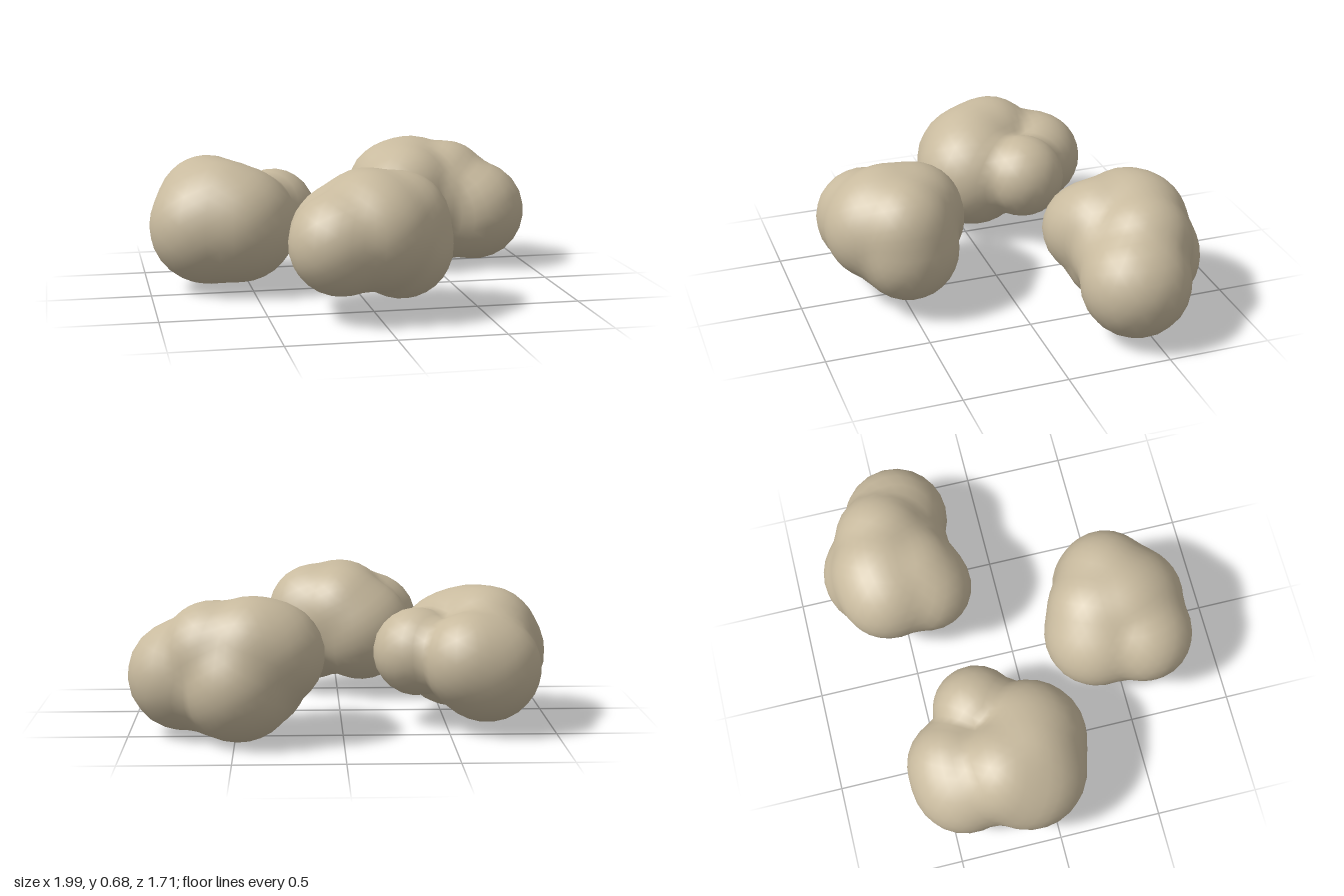
import * as THREE from 'three';
import { mergeVertices } from 'three/addons/utils/BufferGeometryUtils.js';

// Each rock: a core point and overlapping round lobes [x, y, z, radius]
const ROCKS = [
  {
    name: 'leftRock', core: [-0.56, 0.33, -0.25],
    lobes: [[-0.56, 0.33, -0.06, 0.285], [-0.71, 0.32, -0.1, 0.285], // front
      [-0.7, 0.41, -0.2, 0.245], [-0.64, 0.4, -0.09, 0.245], // top
      [-0.68, 0.3, -0.4, 0.255], [-0.6, 0.34, -0.43, 0.23], // back
      [-0.36, 0.355, -0.27, 0.21]], // side knob
  },
  {
    name: 'rightRock', core: [0.49, 0.33, -0.48],
    lobes: [[0.74, 0.285, -0.43, 0.26], // outer knob
      [0.31, 0.37, -0.36, 0.22], [0.33, 0.4, -0.55, 0.245], // inner end
      [0.48, 0.27, -0.59, 0.265], // back
      [0.42, 0.42, -0.56, 0.25], [0.38, 0.41, -0.41, 0.23], [0.6, 0.41, -0.52, 0.235], // top
      [0.57, 0.23, -0.5, 0.22], [0.4, 0.26, -0.45, 0.23], // underside
      [0.54, 0.34, -0.42, 0.22]], // front saddle
  },
  {
    name: 'frontRock', core: [-0.02, 0.37, 0.5],
    lobes: [[-0.18, 0.36, 0.62, 0.24], [0, 0.39, 0.6, 0.26], // front
      [0.13, 0.31, 0.49, 0.245], [0.12, 0.43, 0.5, 0.235], // outer side
      [-0.12, 0.34, 0.4, 0.26], [-0.02, 0.43, 0.42, 0.24], // back
      [-0.02, 0.435, 0.55, 0.245]], // top
  },
];

// Distance along a ray from the core to the far side of a lobe
function lobeDistance(dir, core, [x, y, z, r]) {
  const c = new THREE.Vector3(x, y, z).sub(core);
  const b = dir.dot(c);
  return b + Math.sqrt(Math.max(0, b * b - c.lengthSq() + r * r));
}

// Push a sphere out to the lobes, softly blending where they meet
function rockGeometry({ core, lobes }) {
  let geometry = new THREE.IcosahedronGeometry(1, 7);
  geometry.deleteAttribute('uv');
  geometry.deleteAttribute('normal');
  geometry = mergeVertices(geometry, 1e-4);
  const pos = geometry.attributes.position;
  const centre = new THREE.Vector3(...core);
  const dir = new THREE.Vector3();
  const soft = 0.015;
  for (let i = 0; i < pos.count; i++) {
    dir.fromBufferAttribute(pos, i).normalize();
    let sum = 0;
    for (const lobe of lobes) sum += Math.exp(lobeDistance(dir, centre, lobe) / soft);
    dir.multiplyScalar(soft * Math.log(sum)).add(centre);
    pos.setXYZ(i, dir.x, dir.y, dir.z);
  }
  geometry.computeVertexNormals();
  return geometry;
}

export function createModel() {
  const group = new THREE.Group();
  group.name = 'rocks';
  const stone = new THREE.MeshStandardMaterial({ color: 0xc8ba9e });
  stone.name = 'stone';
  for (const rock of ROCKS) {
    const mesh = new THREE.Mesh(rockGeometry(rock), stone);
    mesh.name = rock.name;
    group.add(mesh);
  }
  return group;
}
